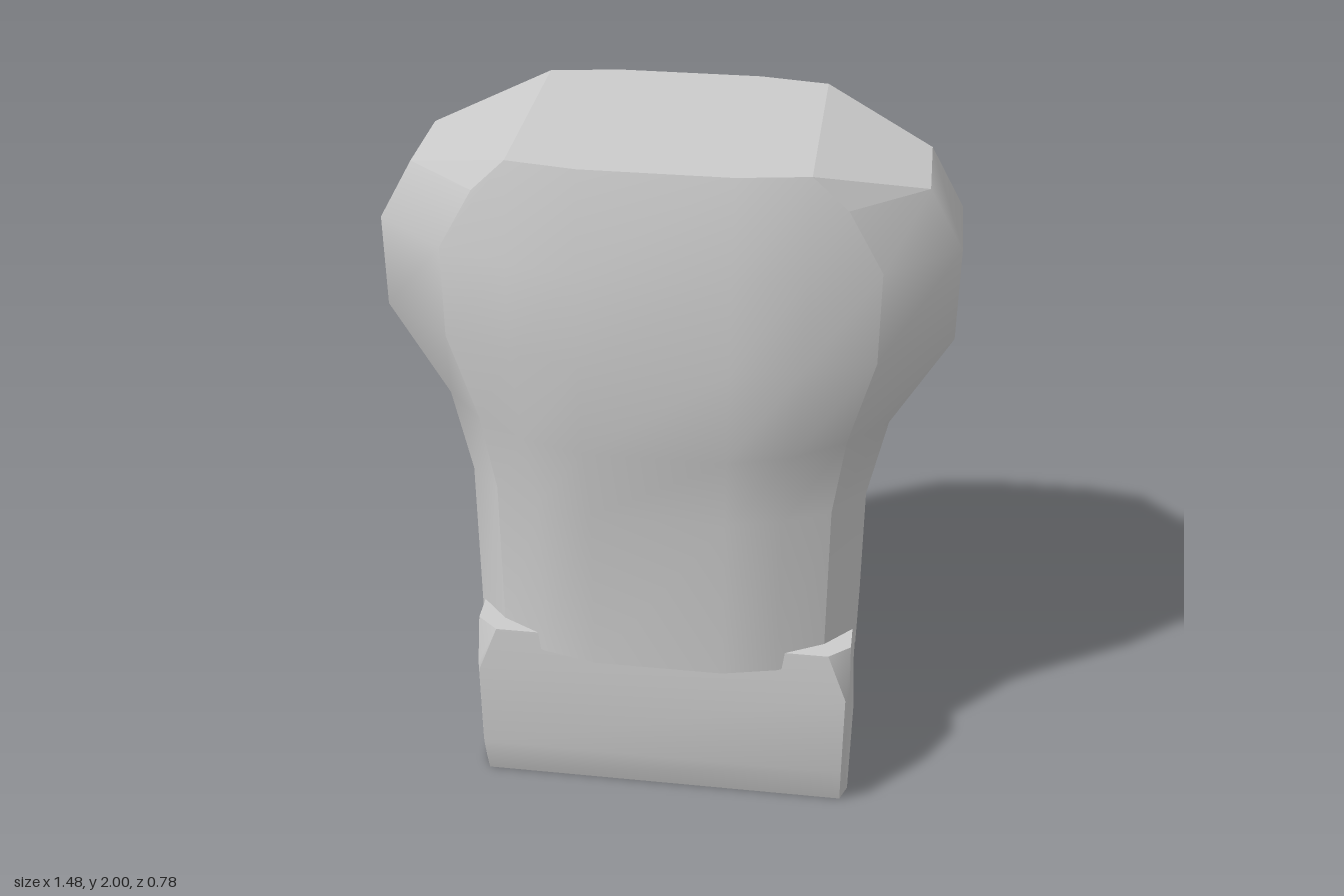
import * as THREE from 'three';
import { mergeGeometries, mergeVertices } from 'three/addons/utils/BufferGeometryUtils.js';

// Mirror a quarter outline of [x, z, y] points into a closed ring, from +x round to +z
function ring(quarter) {
  const back = [...quarter].reverse();
  const put = (list, sx, sz) => list.map(([x, z, y]) => new THREE.Vector3(x * sx, y, z * sz));
  return [...put(quarter, 1, 1), ...put(back, -1, 1), ...put(quarter, -1, -1), ...put(back, 1, -1)];
}

// Triangles to geometry, smooth within itself
function surface(points) {
  let g = new THREE.BufferGeometry().setFromPoints(points);
  g = mergeVertices(g, 1e-4);
  g.computeVertexNormals();
  return g.toNonIndexed();
}

// Skin between rings, from outline point i0 to i1; borders stay sharp
function panel(rings, i0, i1) {
  const pts = [], n = rings[0].length;
  for (let r = 0; r < rings.length - 1; r++) {
    for (let i = i0; i < i1; i++) {
      const a = rings[r][i % n], b = rings[r][(i + 1) % n];
      const c = rings[r + 1][i % n], d = rings[r + 1][(i + 1) % n];
      pts.push(a, c, b, b, c, d);
    }
  }
  return surface(pts);
}

// Flat polygon picked from a ring
function polygon(loop, ids) {
  const pts = [];
  for (let i = 1; i < ids.length - 1; i++) pts.push(loop[ids[0]], loop[ids[i]], loop[ids[i + 1]]);
  return surface(pts);
}

function part(name, geometries) {
  const mesh = new THREE.Mesh(mergeGeometries(geometries), new THREE.MeshStandardMaterial({ color: 0xcccccc }));
  mesh.name = name;
  return mesh;
}

export function createModel() {
  const group = new THREE.Group();
  group.name = 'torso';

  // Chest: waist widening to the shoulders, with sloped shoulder tops
  const at = (y, quarter) => ring(quarter.map(([x, z]) => [x, z, y]));
  const waist = [[0.54, 0.13], [0.455, 0.22], [0.33, 0.285], [0.18, 0.32]];
  const wide = [[0.74, 0.13], [0.55, 0.285], [0.37, 0.355], [0.19, 0.39]];
  const top = ring([[0.65, 0.13, 1.91], [0.46, 0.285, 1.91], [0.37, 0.3, 2], [0.19, 0.33, 2]]);
  const chest = [
    at(0.5, waist),
    at(1.0, waist),
    at(1.24, [[0.59, 0.13], [0.485, 0.25], [0.35, 0.34], [0.185, 0.39]]),
    at(1.5, wide),
    at(1.75, wide),
    top,
  ];
  const topFaces = [
    [5, 4, 3, 2, 13, 12, 11, 10],
    [2, 0, 15, 13], [2, 1, 0], [15, 14, 13],
    [10, 8, 7, 5], [7, 6, 5], [10, 9, 8],
  ];
  group.add(part('chest', [
    ...[[1, 6], [6, 9], [9, 14], [14, 17]].map(([a, b]) => panel(chest, a, b)),
    ...topFaces.map((ids) => polygon(top, ids)),
    polygon(chest[0], [...chest[0].keys()]),
  ]));

  // Hips: chamfered block overlapping the waist
  const hips = [
    at(0, [[0.545, 0.19], [0.525, 0.24]]),
    at(0.14, [[0.535, 0.25], [0.525, 0.285]]),
    at(0.41, [[0.535, 0.25], [0.525, 0.285]]),
    at(0.555, [[0.53, 0.225], [0.47, 0.275]]),
  ];
  group.add(part('hips', [
    ...hips[0].map((_, i) => panel(hips, i, i + 1)),
    polygon(hips[0], [...hips[0].keys()]),
    polygon(hips[3], [...hips[3].keys()].reverse()),
  ]));

  return group;
}
